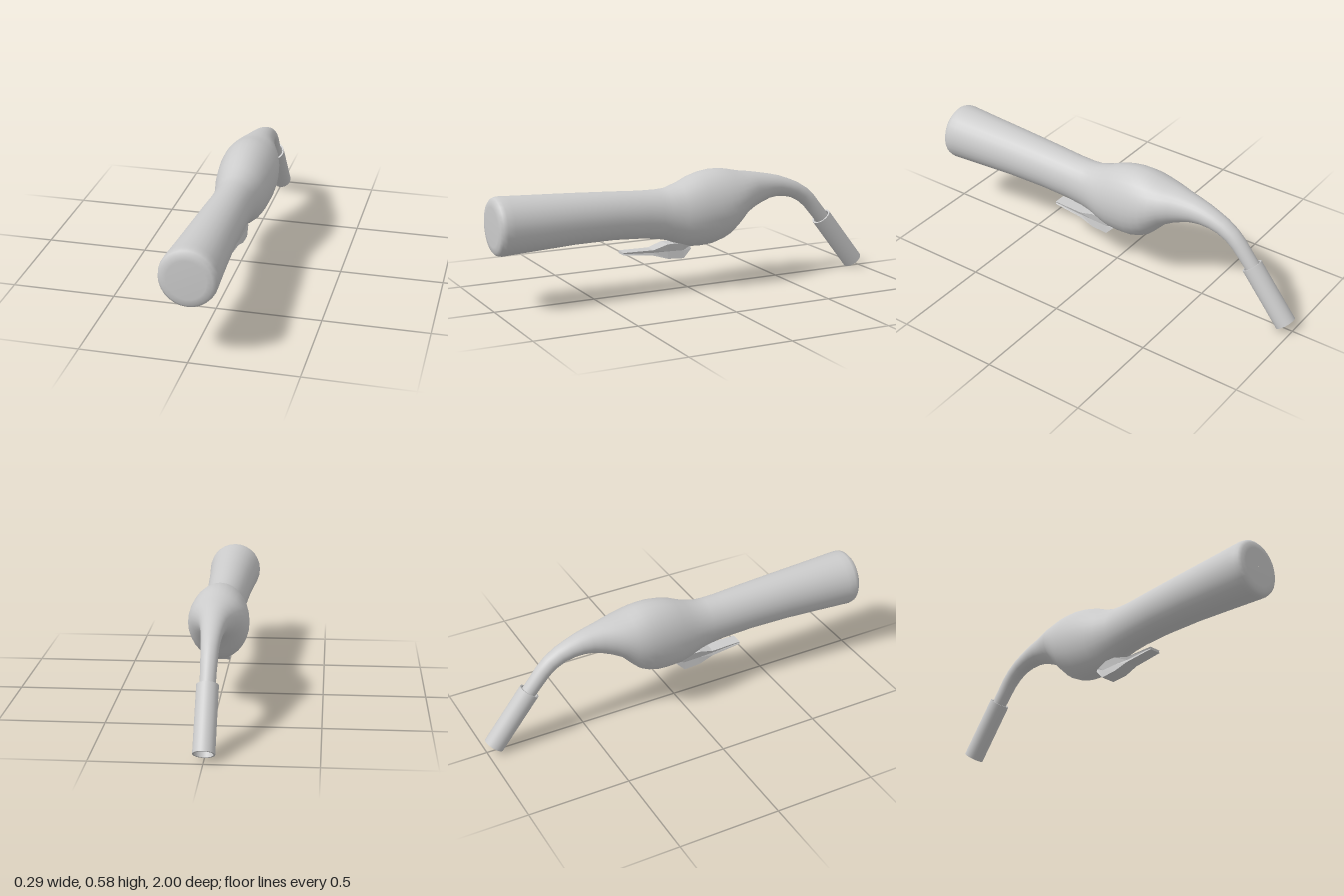
import * as THREE from 'three';

const grey = (extra = {}) => new THREE.MeshStandardMaterial({ color: 0xcccccc, ...extra });

// Skin a list of closed rings (counter-clockwise seen from +z, running towards -z)
function loft(rings) {
  const n = rings[0].length;
  const index = [];
  for (let i = 0; i < rings.length - 1; i++) {
    for (let j = 0; j < n; j++) {
      const a = i * n + j, b = i * n + (j + 1) % n;
      index.push(a, a + n, b, b, a + n, b + n);
    }
  }
  const geometry = new THREE.BufferGeometry();
  geometry.setAttribute('position', new THREE.Float32BufferAttribute(rings.flat(2), 3));
  geometry.setIndex(index);
  geometry.computeVertexNormals();
  return geometry;
}

// Elliptical ring, leaning back by tilt degrees to follow the bend
function ellipse([z, y, rx, ry, tilt = 0], sides = 28) {
  const t = THREE.MathUtils.degToRad(tilt);
  return Array.from({ length: sides }, (_, j) => {
    const a = j / sides * Math.PI * 2, up = Math.sin(a) * ry;
    return [Math.cos(a) * rx, y + up * Math.cos(t), z - up * Math.sin(t)];
  });
}

function add(group, name, geometry, material) {
  const mesh = new THREE.Mesh(geometry, material);
  mesh.name = name;
  group.add(mesh);
  return mesh;
}

export function createModel() {
  const model = new THREE.Group();
  model.name = 'torch';

  // Handle, bulge and bent neck: z, centre y, half width, half height, tilt
  const body = [
    [1, 0.402, 0.001, 0.001], [1, 0.402, 0.09, 0.093], [0.997, 0.402, 0.115, 0.12],
    [0.985, 0.402, 0.13, 0.134], [0.965, 0.402, 0.135, 0.139], [0.93, 0.402, 0.134, 0.137],
    [0.8, 0.402, 0.125, 0.131], [0.6, 0.402, 0.114, 0.122], [0.4, 0.397, 0.106, 0.116],
    [0.25, 0.388, 0.1, 0.116], [0.17, 0.382, 0.101, 0.121], [0.12, 0.378, 0.106, 0.128],
    [0.05, 0.375, 0.12, 0.154], [0, 0.38, 0.131, 0.172], [-0.06, 0.388, 0.139, 0.182],
    [-0.12, 0.395, 0.144, 0.184], [-0.17, 0.403, 0.145, 0.176], [-0.21, 0.411, 0.142, 0.163],
    [-0.25, 0.426, 0.135, 0.139], [-0.3, 0.448, 0.118, 0.107], [-0.35, 0.459, 0.096, 0.09],
    [-0.4, 0.464, 0.078, 0.075, 2], [-0.45, 0.467, 0.066, 0.062, 5], [-0.5, 0.463, 0.057, 0.053, 11],
    [-0.55, 0.452, 0.05, 0.046, 17], [-0.6, 0.435, 0.045, 0.042, 26], [-0.65, 0.406, 0.041, 0.04, 36],
    [-0.69, 0.37, 0.039, 0.038, 45], [-0.725, 0.328, 0.037, 0.037, 50], [-0.765, 0.28, 0.036, 0.036, 51],
    [-0.79, 0.249, 0.035, 0.035, 51], [-0.79, 0.249, 0.001, 0.001, 51],
  ];
  add(model, 'handleAndNeck', loft(body.map((s) => ellipse(s))), grey());

  // Hollow nozzle sleeve along the end of the neck
  const top = new THREE.Vector3(0, 0.28, -0.765);
  const end = new THREE.Vector3(0, 0.031, -0.961);
  const length = top.distanceTo(end);
  const corners = [[0.042, 0], [0.05, 0], [0.05, length], [0.042, length], [0.042, 0]];
  const nozzle = new THREE.Group();
  nozzle.name = 'nozzle';
  const walls = ['innerRim', 'outerWall', 'upperRim', 'innerWall'];
  walls.forEach((name, i) => {
    const profile = [corners[i], corners[i + 1]].map((p) => new THREE.Vector2(...p));
    add(nozzle, name, new THREE.LatheGeometry(profile, 32), grey({ side: THREE.DoubleSide }));
  });
  nozzle.position.copy(end);
  nozzle.quaternion.setFromUnitVectors(new THREE.Vector3(0, 1, 0), top.clone().sub(end).normalize());
  model.add(nozzle);

  // Faceted trigger with pinched sides: z, top y, bottom y, half width
  const trigger = [
    [0.356, 0.211, 0.21, 0.001], [0.356, 0.217, 0.204, 0.031], [0.2, 0.214, 0.187, 0.034],
    [0.125, 0.236, 0.164, 0.039], [0.04, 0.236, 0.158, 0.039], [0, 0.235, 0.2, 0.036],
    [0, 0.22, 0.219, 0.001],
  ].map(([z, t, b, w]) => {
    const m = (t + b) / 2, waist = w * 0.87;
    return [[waist, m, z], [w, t, z], [-w, t, z], [-waist, m, z], [-w, b, z], [w, b, z]];
  });
  add(model, 'trigger', loft(trigger), grey({ flatShading: true }));

  return model;
}
